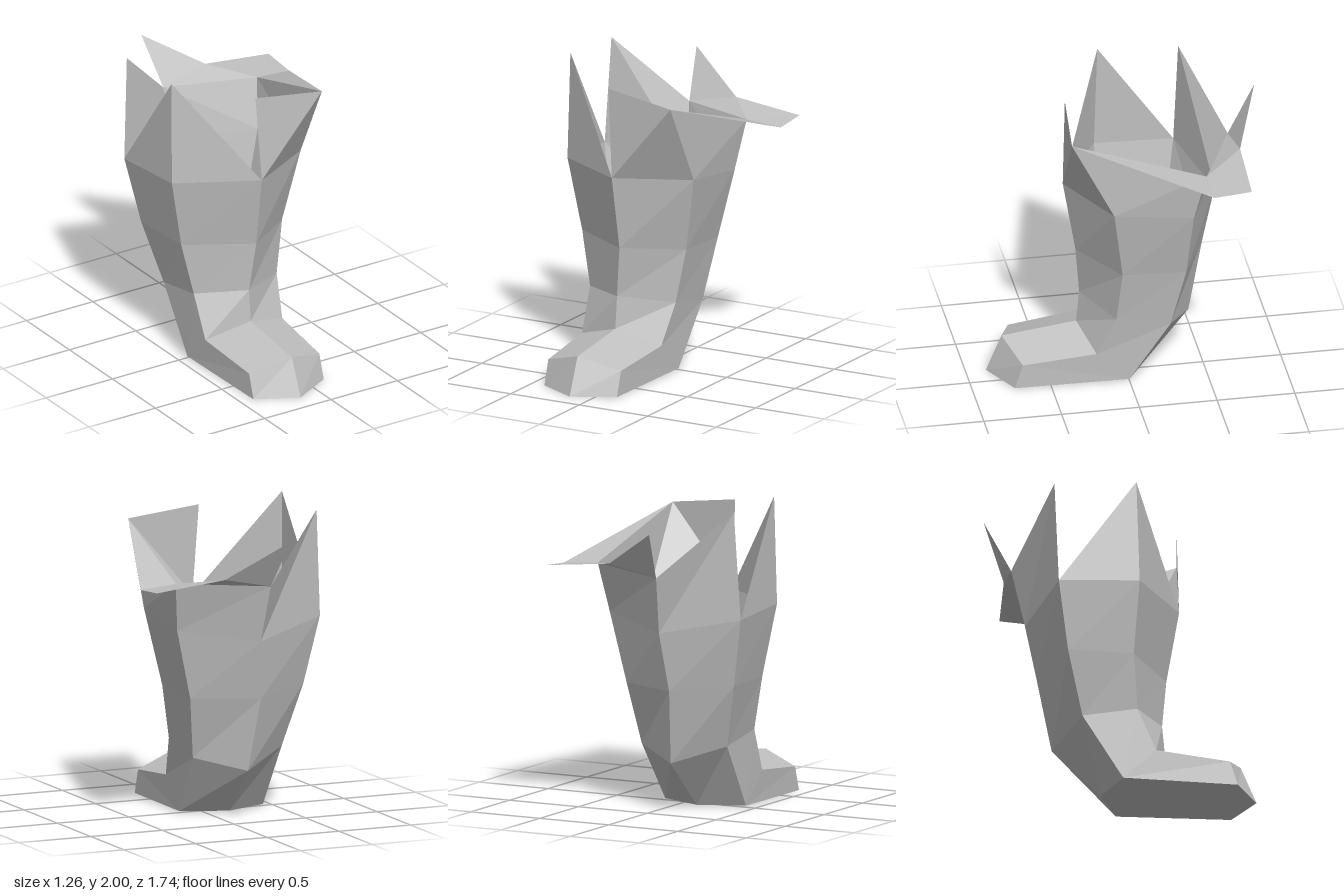
import * as THREE from 'three';

// Six-sided rings, ordered: front, front left, back left, back, back right, front right
const heel = [[0.15, 0.01, 0], [-0.145, 0.01, -0.12], [-0.435, 0.01, 0]];
const sole = [[-0.145, 0, 0.87], [0.12, 0, 0.73], ...heel, [-0.41, 0, 0.73]];
const toe = [[-0.145, 0.24, 0.77], [0.12, 0.16, 0.68], ...heel, [-0.41, 0.16, 0.68]];
const instep = [[-0.145, 0.3, 0.29], [0.145, 0.21, 0.21], ...heel, [-0.435, 0.21, 0.21]];
const ankle = [[-0.145, 0.51, 0.27], [0.18, 0.47, 0.09], [0.175, 0.4, -0.26],
  [-0.13, 0.32, -0.43], [-0.445, 0.43, -0.26], [-0.445, 0.49, 0.09]];
const shin = [[-0.11, 0.84, 0.3], [0.24, 0.82, 0.06], [0.235, 0.8, -0.35],
  [-0.175, 0.8, -0.53], [-0.55, 0.84, -0.36], [-0.52, 0.84, 0.06]];
const calf = [[-0.12, 1.32, 0.38], [0.335, 1.31, 0.13], [0.34, 1.25, -0.38],
  [-0.14, 1.18, -0.6], [-0.635, 1.28, -0.425], [-0.61, 1.31, 0.09]];
const rim = [[-0.155, 1.9, 0.36], [0.32, 1.84, 0.4], [0.385, 1.57, -0.455],
  [-0.17, 1.55, -0.69], [-0.6, 1.97, -0.45], [-0.6, 2.0, 0.07]];

// Outer corners of the folded flap and the tip of the rear tear
const flapFront = [0.63, 1.55, -0.46];
const flapBack = [0.63, 1.57, -0.7];
const fold = [0.16, 1.62, -0.71];
const tearTip = [-0.22, 1.86, -0.87];

// Panel i of the wall between two rings
const panel = (lo, hi, i) => {
  const j = (i + 1) % 6;
  return [lo[i], lo[j], hi[j], hi[i]];
};
const band = (lo, hi) => lo.map((_, i) => panel(lo, hi, i));

// Flat-faced mesh from polygons, fanned into triangles; collapsed triangles are dropped
function facets(name, polygons, material) {
  const points = [];
  for (const poly of polygons) {
    for (let k = 1; k < poly.length - 1; k++) {
      const tri = [poly[0], poly[k], poly[k + 1]].map((p) => new THREE.Vector3(...p));
      if (new THREE.Triangle(...tri).getArea() > 1e-5) points.push(...tri);
    }
  }
  const geometry = new THREE.BufferGeometry().setFromPoints(points);
  geometry.computeVertexNormals();
  const mesh = new THREE.Mesh(geometry, material);
  mesh.name = name;
  return mesh;
}

export function createModel() {
  const leather = new THREE.MeshStandardMaterial({ color: 0xc0c0c0, side: THREE.DoubleSide });
  leather.name = 'grey leather';

  const boot = new THREE.Group();
  boot.name = 'tornBoot';
  boot.add(
    facets('sole', [[...sole].reverse()], leather),
    facets('foot', [...band(sole, toe), ...band(toe, instep), ...band(instep, ankle)], leather),
    facets('shaft', [...band(ankle, shin), ...band(shin, calf)], leather),
    // Four whole upper panels, then two torn to a shared point
    facets('upperPanels', [0, 1, 2, 3].map((i) => panel(calf, rim, i)), leather),
    facets('tornPoint', [
      [calf[4], calf[5], rim[5]],
      [calf[5], calf[0], rim[5]],
    ], leather),
    // Cuff turned outward over the left side
    facets('foldedFlap', [
      [rim[1], flapFront, rim[2]],
      [rim[2], flapFront, flapBack, fold],
    ], leather),
    facets('rearTear', [[rim[3], tearTip, fold, rim[2]]], leather),
  );
  return boot;
}
